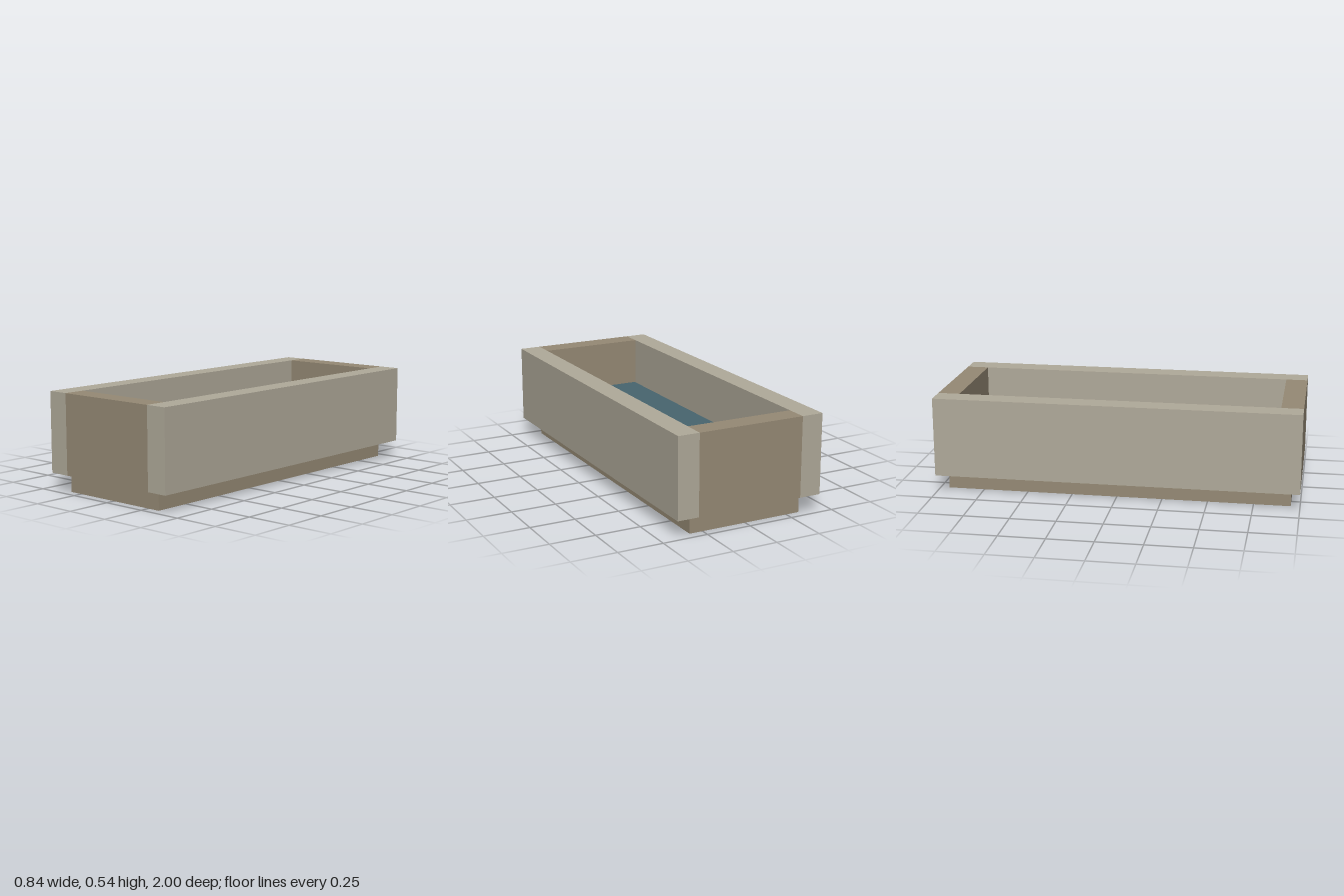
import * as THREE from 'three';

export function createModel() {
  const model = new THREE.Group();
  model.name = 'stoneTrough';

  const paleStone = new THREE.MeshStandardMaterial({ name: 'pale stone', color: 0xb0aa9a });
  const brownStone = new THREE.MeshStandardMaterial({ name: 'brown stone', color: 0x968a75 });
  const waterBlue = new THREE.MeshStandardMaterial({ name: 'water blue', color: 0x48656f });

  // Adds a box standing on the height `bottom`
  function addBlock(name, material, width, height, depth, x, bottom, z) {
    const mesh = new THREE.Mesh(new THREE.BoxGeometry(width, height, depth), material);
    mesh.name = name;
    mesh.position.set(x, bottom + height / 2, z);
    model.add(mesh);
  }

  const baseTop = 0.1, wallHeight = 0.44, wall = 0.12;
  const outerWidth = 0.84, outerLength = 2;
  const innerWidth = outerWidth - 2 * wall;

  // Recessed plinth, which also forms the basin floor
  addBlock('plinth', brownStone, 0.65, baseTop, 1.9, 0, 0, 0);

  // Long side walls, with the end walls set between them
  for (const [side, s] of [['left', 1], ['right', -1]]) {
    addBlock(side + 'Wall', paleStone, wall, wallHeight, outerLength,
      s * (outerWidth - wall) / 2, baseTop, 0);
  }
  for (const [end, s] of [['front', 1], ['back', -1]]) {
    addBlock(end + 'Wall', brownStone, innerWidth, wallHeight, wall,
      0, baseTop, s * (outerLength - wall) / 2);
  }

  // Water filling the lower part of the basin
  addBlock('water', waterBlue, 0.585, 0.17, 1.755, 0, baseTop, 0);

  return model;
}
